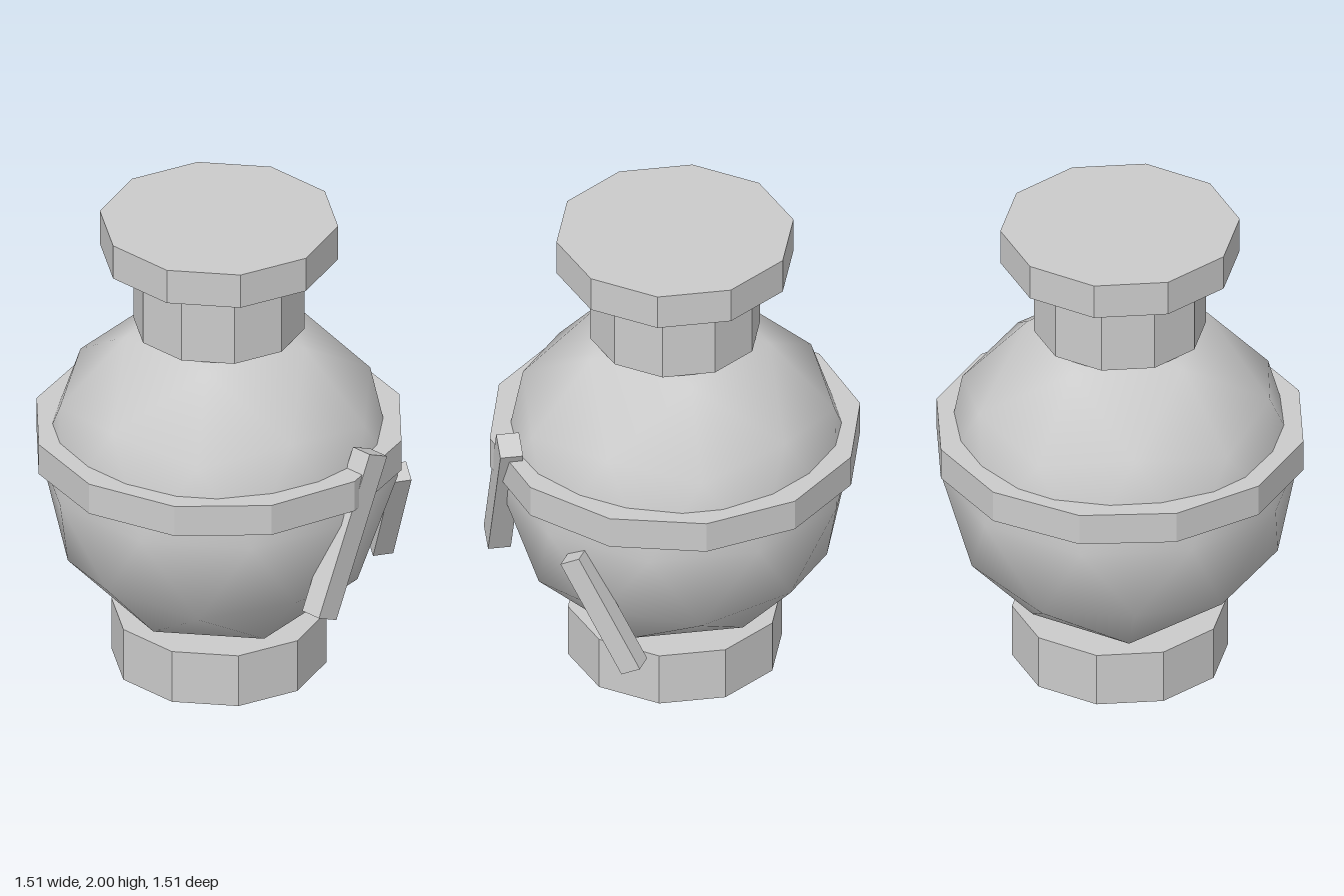
import * as THREE from 'three';

const rad = THREE.MathUtils.degToRad;

export function createModel() {
  const group = new THREE.Group();
  const flat = new THREE.MeshStandardMaterial({ color: 0xcccccc, flatShading: true });
  const smooth = new THREE.MeshStandardMaterial({ color: 0xcccccc });

  function add(name, geometry, material = flat) {
    const mesh = new THREE.Mesh(geometry, material);
    mesh.name = name;
    group.add(mesh);
    return mesh;
  }

  // Faceted discs stacked along the axis: radius, bottom, top, sides
  function disc(name, radius, y0, y1, sides) {
    add(name, new THREE.CylinderGeometry(radius, radius, y1 - y0, sides)).position.y = (y0 + y1) / 2;
  }
  disc('base', 0.437, 0, 0.23, 10);
  disc('belt', 0.756, 0.945, 1.08, 12);
  disc('neck', 0.347, 1.52, 1.85, 10);
  disc('stopper', 0.484, 1.85, 2, 10);

  // Round body: icosphere turned so that one vertex points straight up
  const body = new THREE.IcosahedronGeometry(0.727, 1);
  body.rotateZ(-Math.atan(2 / (1 + Math.sqrt(5))));
  add('body', body, smooth).position.y = 0.876;

  // Slanted bars on the body: size, position, turn about the axis, tilt
  function bar(name, size, position, turn, tilt) {
    const mesh = add(name, new THREE.BoxGeometry(...size));
    mesh.position.set(...position);
    mesh.rotation.set(0, rad(turn), rad(tilt));
  }
  bar('frontBar', [0.112, 0.7, 0.093], [0, 0.82, 0.7], 0, -25);
  bar('sideBar', [0.09, 0.54, 0.085], [0.585, 0.587, 0.39], 60, 29);

  return group;
}
